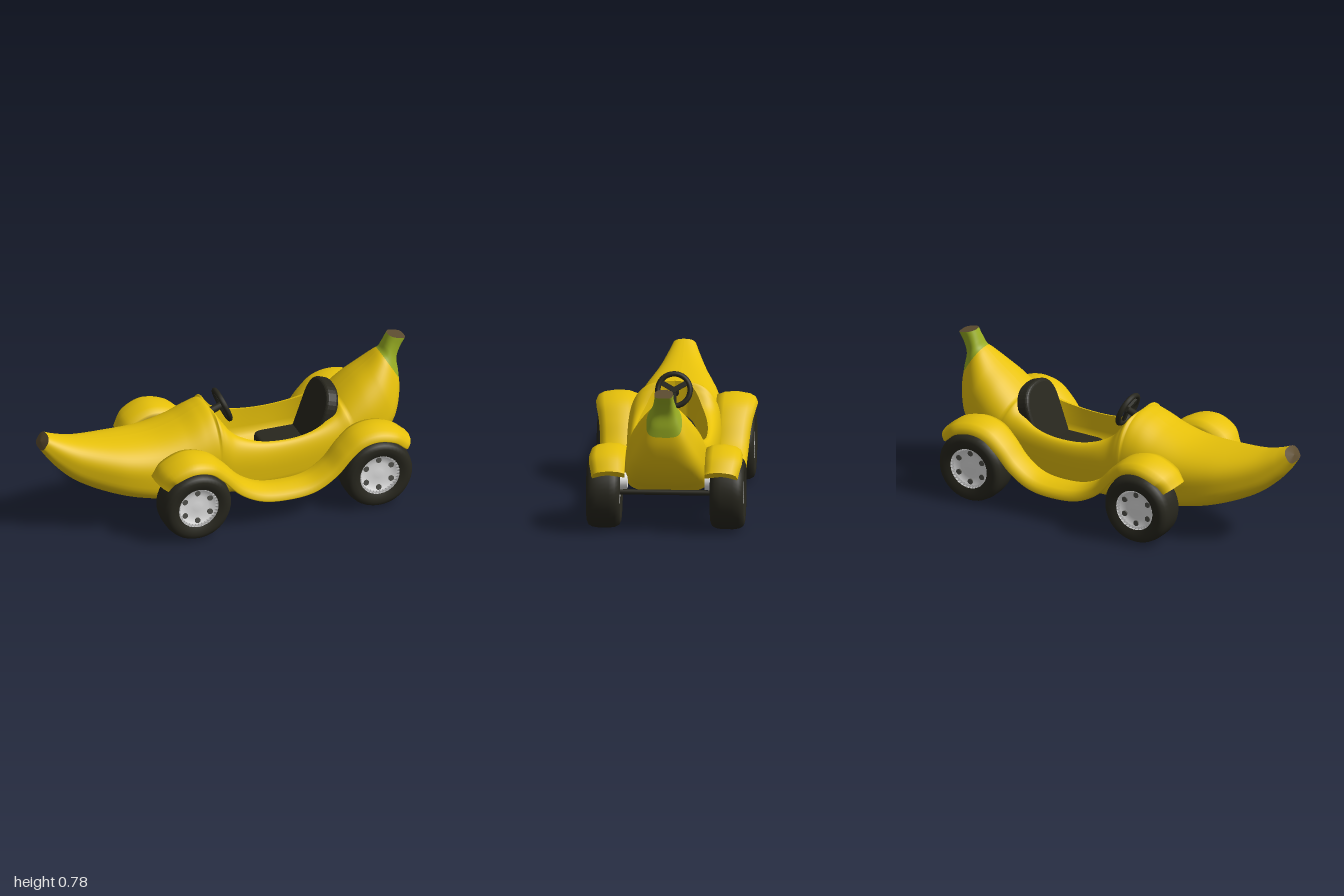
import * as THREE from 'three';

const mat = (name, color, side = THREE.FrontSide) => {
  const m = new THREE.MeshStandardMaterial({ color, side });
  m.name = name;
  return m;
};

// Skin over a list of rings, each a list of [x, y, z]
function loft(rings, closed = false) {
  const n = rings[0].length, index = [];
  for (let i = 0; i < rings.length - 1; i++) {
    for (let j = 0; j < (closed ? n : n - 1); j++) {
      const a = i * n + j, b = i * n + (j + 1) % n;
      index.push(a, b, a + n, b, b + n, a + n);
    }
  }
  const g = new THREE.BufferGeometry();
  g.setAttribute('position', new THREE.Float32BufferAttribute(rings.flat(2), 3));
  g.setIndex(index);
  g.computeVertexNormals();
  return g;
}

// End cap for a ring, its middle pushed along x to bulge
function cap(ring, flip, bulge = 0) {
  const n = ring.length;
  const mid = [0, 1, 2].map(k => ring.reduce((s, p) => s + p[k], 0) / n);
  mid[0] += bulge;
  const pos = [];
  for (let j = 0; j < n; j++) {
    const a = ring[j], b = ring[(j + 1) % n];
    pos.push(...mid, ...(flip ? b : a), ...(flip ? a : b));
  }
  const g = new THREE.BufferGeometry();
  g.setAttribute('position', new THREE.Float32BufferAttribute(pos, 3));
  g.computeVertexNormals();
  return g;
}

const curve = pts => new THREE.CatmullRomCurve3(pts.map(p => new THREE.Vector3(...p)));

// Half width of the cockpit opening
const OPEN = [-0.085, 0.61];
function rimAt(x) {
  const t = Math.abs((x - (OPEN[0] + OPEN[1]) / 2) / ((OPEN[1] - OPEN[0]) / 2));
  return t >= 1 ? 0 : 0.185 * Math.pow(1 - Math.pow(t, 2.6), 1 / 2.6);
}

// Body stations: bottom x, bottom y, half width, top x, top y, height share of the widest point
const STATIONS = [
  [-1, 0.485, 0.06, -0.955, 0.557, 0.5], [-0.93, 0.39, 0.088, -0.9, 0.533, 0.5],
  [-0.82, 0.29, 0.129, -0.8, 0.5, 0.5], [-0.6, 0.19, 0.198, -0.6, 0.47, 0.5],
  [-0.4, 0.145, 0.23, -0.4, 0.468, 0.45], [-0.25, 0.13, 0.236, -0.25, 0.505, 0.42],
  [-0.15, 0.125, 0.237, -0.15, 0.55, 0.4], [-0.085, 0.122, 0.238, -0.085, 0.565, 0.4],
  [-0.05, 0.12, 0.24, -0.05, 0.52, 0.42], [0, 0.118, 0.24, 0, 0.455, 0.45],
  [0.07, 0.116, 0.238, 0.07, 0.415, 0.5], [0.18, 0.115, 0.234, 0.18, 0.385, 0.5],
  [0.35, 0.12, 0.228, 0.35, 0.38, 0.5], [0.5, 0.14, 0.222, 0.48, 0.405, 0.5],
  [0.62, 0.165, 0.217, 0.56, 0.445, 0.48], [0.72, 0.21, 0.212, 0.61, 0.5, 0.45],
  [0.82, 0.26, 0.202, 0.7, 0.575, 0.42], [0.9, 0.345, 0.172, 0.785, 0.635, 0.38],
  [0.945, 0.47, 0.117, 0.84, 0.68, 0.4], [0.95, 0.575, 0.078, 0.866, 0.7, 0.45],
  [0.945, 0.65, 0.058, 0.882, 0.728, 0.5], [0.965, 0.705, 0.05, 0.895, 0.755, 0.5],
  [0.997, 0.757, 0.048, 0.907, 0.779, 0.5],
];
const SUB = 8, GREEN_START = 19 * SUB - 3;

function bodyRings() {
  const bottom = curve(STATIONS.map(s => s.slice(0, 3)));
  const top = curve(STATIONS.map(s => s.slice(3)));
  const rings = [], tub = [], count = (STATIONS.length - 1) * SUB, half = 14;
  for (let i = 0; i <= count; i++) {
    const b = bottom.getPoint(i / count), t = top.getPoint(i / count);
    const w = b.z, f = t.z, rim = rimAt(t.x), side = [];
    // The belly is boxy amidships and rounder towards both ends
    const belly = 0.42 + 0.2 * Math.min(1, Math.abs(t.x - 0.1));
    for (let j = 0; j <= 2 * half; j++) {
      const a = Math.PI / 2 * (1 - j / half);
      const c = Math.abs(Math.cos(a)), s = Math.abs(Math.sin(a));
      const upper = j <= half;
      const z = upper ? rim + (w - rim) * Math.pow(c, 0.85) : w * Math.pow(c, belly);
      const v = upper ? f + (1 - f) * Math.pow(s, 0.85) : f - f * Math.pow(s, belly);
      side.push([b.x + (t.x - b.x) * v, b.y + (t.y - b.y) * v, j === 2 * half ? 0 : z]);
    }
    rings.push([...side, ...side.slice(0, -1).reverse().map(p => [p[0], p[1], -p[2]])]);
    // Matching section of the cockpit lining
    if (i >= 7 * SUB && i <= 15 * SUB) {
      const line = [];
      for (let k = -10; k <= 10; k++) {
        const a = k / 10 * Math.PI / 2;
        const depth = 1 - Math.pow(Math.cos(a), 0.35);
        line.push([t.x, 0.19 + (t.y - 0.19) * (Math.abs(k) === 10 ? 1 : depth), rim * Math.sin(a)]);
      }
      tub.push(line);
    }
  }
  return { rings, tub };
}

// Wavy fender: path x, path y, outer z
const FENDER_PATH = [
  [-0.468, 0.335, 0.37], [-0.42, 0.4, 0.4], [-0.3, 0.45, 0.415], [-0.18, 0.425, 0.407],
  [-0.09, 0.35, 0.39], [0, 0.255, 0.38], [0.1, 0.2, 0.375], [0.22, 0.182, 0.372],
  [0.36, 0.195, 0.372], [0.46, 0.255, 0.375], [0.54, 0.345, 0.382], [0.62, 0.41, 0.388],
  [0.72, 0.432, 0.392], [0.83, 0.405, 0.392], [0.91, 0.34, 0.375],
];
// Fender section: share of width, offset from the path
const FENDER_INNER = 0.205;
const FENDER_SECTION = [
  [0, -0.012], [0.2, 0.003], [0.5, 0.006], [0.8, -0.004], [0.94, -0.02], [1, -0.048],
  [0.96, -0.055], [0.85, -0.04], [0.5, -0.028], [0, -0.045],
];
function fenderRings() {
  const path = curve(FENDER_PATH), rings = [];
  for (let i = 0; i <= 90; i++) {
    const p = path.getPoint(i / 90), t = path.getTangent(i / 90);
    const len = Math.hypot(t.x, t.y), nx = -t.y / len, ny = t.x / len;
    rings.push(FENDER_SECTION.map(([s, o]) =>
      [p.x + nx * o, p.y + ny * o, FENDER_INNER + (p.z - FENDER_INNER) * s]));
  }
  return rings;
}

export function createModel() {
  const peel = mat('yellow peel', 0xe8c20a, THREE.DoubleSide);
  const green = mat('stem green', 0x98ad22, THREE.DoubleSide);
  const brown = mat('tip brown', 0x5c4c30);
  const dark = mat('dark rubber', 0x28271e);
  const silver = mat('wheel silver', 0xe6e6e6);
  const grey = mat('hole grey', 0x55554f);
  const model = new THREE.Group();
  model.name = 'bananaCar';
  const add = (parent, name, geo, material, pos = [0, 0, 0], rot = [0, 0, 0]) => {
    const m = new THREE.Mesh(geo, material);
    m.name = name;
    m.position.set(...pos);
    m.rotation.set(...rot);
    parent.add(m);
    return m;
  };

  // Body, stem, end caps and cockpit lining
  const { rings, tub } = bodyRings();
  add(model, 'body', loft(rings.slice(0, GREEN_START + 1)), peel);
  add(model, 'stem', loft(rings.slice(GREEN_START)), green);
  add(model, 'noseTip', cap(rings[0], true, -0.012), brown);
  add(model, 'stemTip', cap(rings[rings.length - 1], false), brown);
  add(model, 'cockpitLining', loft(tub), peel);

  // Seat: cushion plus a leaning, round-topped back
  const panel = (w, h, r, depth) => {
    const s = new THREE.Shape();
    s.moveTo(-w, 0).lineTo(w, 0).lineTo(w, h - r);
    s.quadraticCurveTo(w, h, w - r, h).lineTo(r - w, h).quadraticCurveTo(-w, h, -w, h - r);
    return new THREE.ExtrudeGeometry(s, {
      depth, bevelSize: 0.018, bevelThickness: 0.018, bevelSegments: 4, curveSegments: 10,
    });
  };
  const seat = new THREE.Group();
  seat.name = 'seat';
  model.add(seat);
  add(seat, 'seatCushion', panel(0.13, 0.27, 0.03, 0.05), dark, [0.51, 0.2, 0], [-Math.PI / 2, 0, Math.PI / 2]);
  const lean = new THREE.Group();
  lean.name = 'seatBackLean';
  lean.position.set(0.45, 0.24, 0);
  lean.rotation.z = -0.34;
  seat.add(lean);
  add(lean, 'seatBack', panel(0.13, 0.33, 0.125, 0.035), dark, [0, 0, 0], [0, Math.PI / 2, 0]);

  // Steering wheel on its column
  const steering = new THREE.Group();
  steering.name = 'steeringWheel';
  steering.position.set(0.005, 0.54, 0);
  steering.rotation.z = 0.37;
  model.add(steering);
  add(steering, 'steeringRim', new THREE.TorusGeometry(0.083, 0.014, 10, 36), dark, [0, 0, 0], [0, Math.PI / 2, 0]);
  for (let i = 0; i < 3; i++) {
    const a = Math.PI / 2 + i * Math.PI * 2 / 3 + Math.PI / 3;
    add(steering, 'steeringSpoke', new THREE.BoxGeometry(0.014, 0.08, 0.026), dark,
      [0, Math.sin(a) * 0.04, Math.cos(a) * 0.04], [Math.PI / 2 - a, 0, 0]);
  }
  add(steering, 'steeringColumn', new THREE.CylinderGeometry(0.016, 0.024, 0.14, 14), dark, [-0.06, 0, 0], [0, 0, -Math.PI / 2]);

  // Wheels, shared by all four corners
  const v2 = p => new THREE.Vector2(...p);
  const tyreSide = [[0.108, -0.076], [0.13, -0.085], [0.152, -0.087], [0.171, -0.079], [0.182, -0.06], [0.187, -0.03]];
  const hubSide = [[0, -0.056], [0.025, -0.056], [0.06, -0.052], [0.095, -0.06], [0.113, -0.077]];
  const both = side => [...side, ...side.map(([r, y]) => [r, -y]).reverse()].map(v2);
  const tyre = new THREE.LatheGeometry(both(tyreSide), 44);
  const hub = new THREE.LatheGeometry(both(hubSide), 36);
  const hole = new THREE.CylinderGeometry(0.015, 0.015, 0.122, 14);
  const knuckle = new THREE.CylinderGeometry(0.05, 0.04, 0.07, 20);

  for (const side of [1, -1]) {
    const half = new THREE.Group();
    half.name = side > 0 ? 'frontSide' : 'backSide';
    half.scale.z = side;
    model.add(half);
    for (const [name, x, y] of [['noseWheel', -0.27, 0.19], ['stemWheel', 0.72, 0.19]]) {
      const wheel = new THREE.Group();
      wheel.name = name;
      wheel.position.set(x, y, 0.317);
      wheel.rotation.x = Math.PI / 2;
      half.add(wheel);
      add(wheel, 'tyre', tyre, dark);
      add(wheel, 'hub', hub, silver);
      for (let i = 0; i < 6; i++) {
        const a = i * Math.PI / 3 + Math.PI / 6;
        add(wheel, 'hubHole', hole, grey, [Math.cos(a) * 0.079, 0, Math.sin(a) * 0.079]);
      }
    }
    // Bright carrier on the inner face of the wheel by the open axle
    add(half, 'wheelCarrier', knuckle, silver, [0.72, 0.245, 0.233], [Math.PI / 2, 0, 0]);
    const f = fenderRings();
    add(half, 'fender', loft(f, true), peel);
    add(half, 'fenderNoseEnd', cap(f[0], true), peel);
    add(half, 'fenderStemEnd', cap(f[f.length - 1], false), peel);
  }
  for (const [x, y] of [[-0.27, 0.19], [0.72, 0.187]]) {
    add(model, 'axle', new THREE.CylinderGeometry(0.014, 0.014, 0.5, 14), dark, [x, y, 0], [Math.PI / 2, 0, 0]);
  }
  return model;
}
